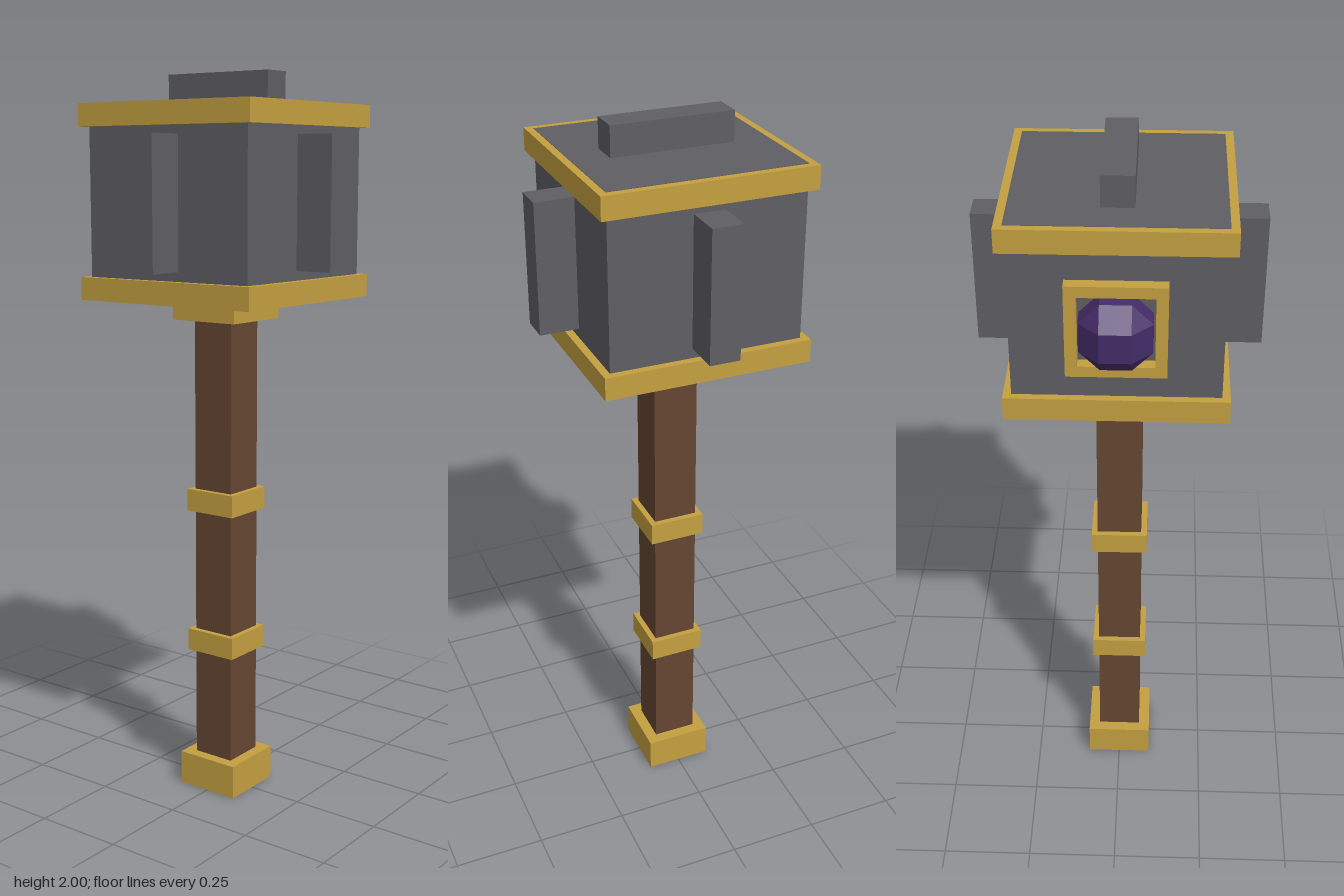
import * as THREE from 'three';
import { ConvexGeometry } from 'three/addons/geometries/ConvexGeometry.js';

export function createModel() {
  const model = new THREE.Group();
  model.name = 'warHammer';

  const material = (name, color) => {
    const m = new THREE.MeshStandardMaterial({ color, flatShading: true });
    m.name = name;
    return m;
  };
  const stone = material('grey stone', 0x5f5e64);
  const gold = material('gold', 0xc4a040);
  const wood = material('brown wood', 0x654632);
  const crystal = material('purple crystal', 0x452c68);

  const add = (name, geometry, mat, x = 0, y = 0, z = 0) => {
    const mesh = new THREE.Mesh(geometry, mat);
    mesh.name = name;
    mesh.position.set(x, y, z);
    model.add(mesh);
    return mesh;
  };
  // Box given by its bottom and top heights
  const block = (name, mat, w, d, y0, y1, x = 0, z = 0) =>
    add(name, new THREE.BoxGeometry(w, y1 - y0, d), mat, x, (y0 + y1) / 2, z);

  // Handle with pommel, rings and collar
  block('handle', wood, 0.122, 0.122, 0.05, 1.4);
  block('pommel', gold, 0.185, 0.185, 0, 0.095);
  block('lowerRing', gold, 0.154, 0.154, 0.405, 0.467);
  block('upperRing', gold, 0.154, 0.154, 0.813, 0.875);
  block('collar', gold, 0.206, 0.206, 1.349, 1.406);

  // Head, whose faces fill the gold rims
  block('head', stone, 0.514, 0.514, 1.405, 1.921);
  block('lowerRim', gold, 0.555, 0.555, 1.406, 1.467);
  block('upperRim', gold, 0.555, 0.555, 1.86, 1.92);

  // Ridges on the sides, front and top
  for (const s of [1, -1]) {
    block(s > 0 ? 'leftRidge' : 'rightRidge', stone, 0.12, 0.081, 1.492, 1.838, s * 0.3);
  }
  block('frontRidge', stone, 0.081, 0.12, 1.492, 1.838, 0, 0.3);
  block('topRidge', stone, 0.081, 0.326, 1.88, 2.0);

  // Square gold frame on the back
  const gemY = 1.663;
  const square = (Type, r) => new Type([[-r, -r], [r, -r], [r, r], [-r, r]].map(([x, y]) => new THREE.Vector2(x, y)));
  const frame = square(THREE.Shape, 0.122);
  frame.holes.push(square(THREE.Path, 0.093));
  add('gemFrame', new THREE.ExtrudeGeometry(frame, { depth: 0.04, bevelEnabled: false }), gold, 0, gemY, -0.289);

  // Gem: a cube with cut edges and corners
  const points = [];
  const a = 0.088, b = 0.038;
  for (const x of [-1, 1]) for (const y of [-1, 1]) for (const z of [-1, 1]) {
    for (const [i, j, k] of [[a, b, b], [b, a, b], [b, b, a]]) {
      points.push(new THREE.Vector3(x * i, y * j, z * k));
    }
  }
  add('gem', new ConvexGeometry(points), crystal, 0, gemY, -0.272);

  return model;
}
